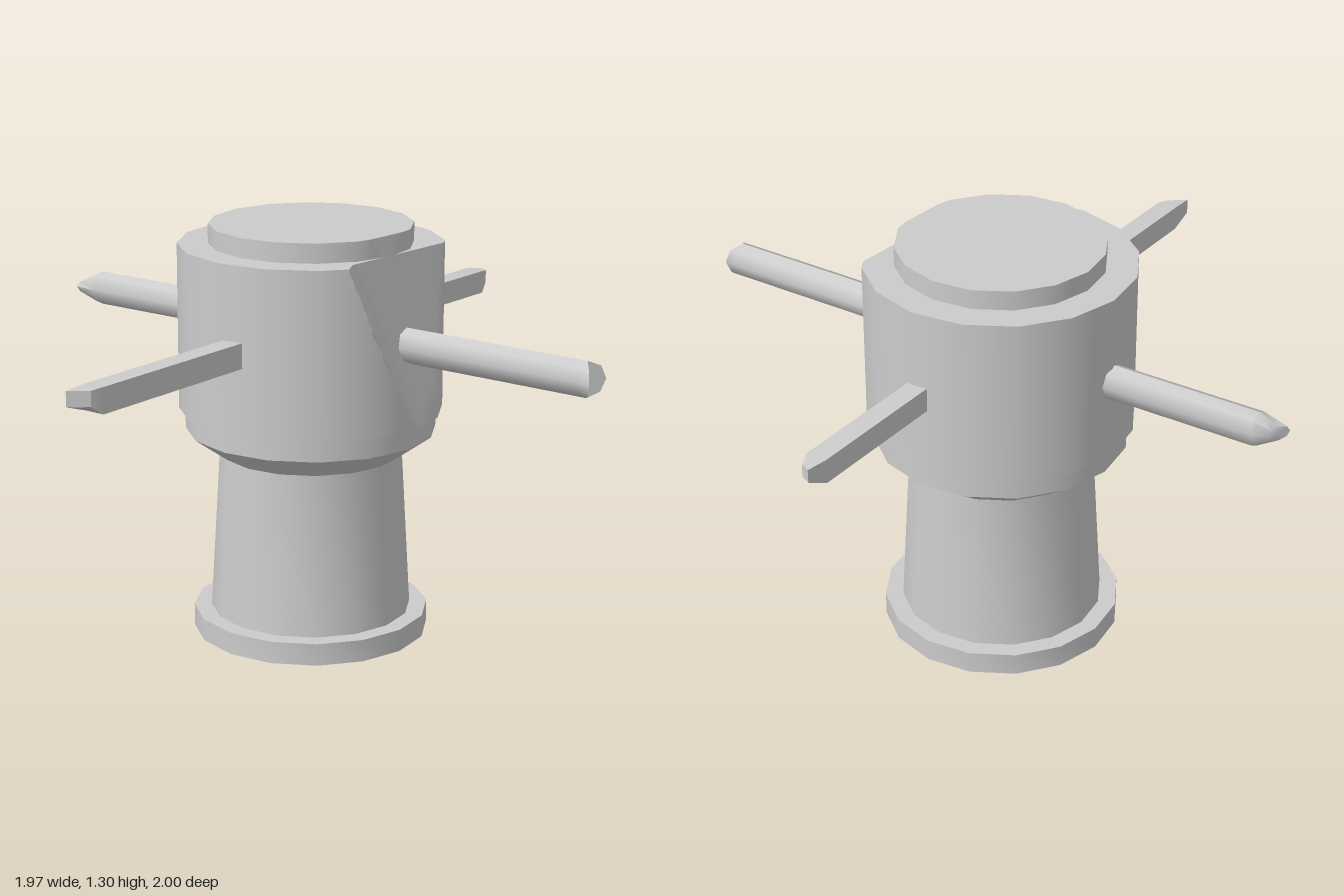
import * as THREE from 'three';
import { toCreasedNormals } from 'three/addons/utils/BufferGeometryUtils.js';

const material = new THREE.MeshStandardMaterial({ color: 0xcccccc, side: THREE.DoubleSide });
const SIDES = 16;

function addMesh(parent, name, geometry, crease) {
  const mesh = new THREE.Mesh(toCreasedNormals(geometry, crease), material);
  mesh.name = name;
  parent.add(mesh);
  return mesh;
}

const points = list => list.map(([r, y]) => new THREE.Vector2(r, y));

// Deepest allowed x of the broken side of the head: a sloping face with a wall at its front edge
function chipLimit(y, z) {
  const down = 1.24 - y;
  return 0.31 + 0.16 * down + 0.6 * Math.max(0, z - (0.165 - 0.42 * down));
}

// Sixteen-sided head with collar and raised cap, chipped on its left side
function headGeometry() {
  const profile = [[0.285, 0.58], [0.39, 0.655], [0.39, 0.675], [0.39, 0.7], [0.39, 0.72]];
  const rows = 26;
  for (let i = 0; i <= rows; i++) profile.push([0.41, 0.72 + 0.52 * i / rows]);
  profile.push([0.315, 1.24], [0.315, 1.27], [0.315, 1.3], [0, 1.3]);

  const geometry = new THREE.LatheGeometry(points(profile), SIDES * 12);
  const pos = geometry.attributes.position;
  const step = 2 * Math.PI / SIDES;
  for (let i = 0; i < pos.count; i++) {
    // flatten the round lathe into a sixteen-sided one
    const angle = Math.atan2(pos.getX(i), pos.getZ(i)) + 2 * Math.PI;
    const k = Math.cos(step / 2) / Math.cos(angle % step - step / 2);
    const x = pos.getX(i) * k, y = pos.getY(i), z = pos.getZ(i) * k;
    pos.setXYZ(i, Math.min(x, chipLimit(y, z)), y, z);
  }

  // smooth shading around the uncut upright sides
  const creased = toCreasedNormals(geometry, 0.42);
  const p = creased.attributes.position, n = creased.attributes.normal;
  for (let i = 0; i < p.count; i += 3) {
    const corners = [i, i + 1, i + 2];
    const smooth = corners.every(j =>
      Math.abs(n.getY(j)) < 0.1 && p.getX(j) < chipLimit(p.getY(j), p.getZ(j)) - 1e-4);
    if (!smooth) continue;
    for (const j of corners) {
      const r = Math.hypot(p.getX(j), p.getZ(j));
      n.setXYZ(j, p.getX(j) / r, 0, p.getZ(j) / r);
    }
  }
  return creased;
}

// Rod between two points; shapeTip(u, v) gives the end's [u, v, setback], with u and v in -1..1
function addRod(parent, name, from, to, sides, width, height, tipLength, shapeTip) {
  const start = new THREE.Vector3(...from), end = new THREE.Vector3(...to);
  const length = start.distanceTo(end);
  const square = sides === 4;
  const radius = square ? Math.SQRT2 : 1;
  const geometry = new THREE.CylinderGeometry(radius, radius, 1, sides, 2, false, square ? Math.PI / 4 : 0);
  geometry.rotateX(Math.PI / 2);
  const pos = geometry.attributes.position;
  for (let i = 0; i < pos.count; i++) {
    let u = pos.getX(i), v = pos.getY(i), z = 0;
    const along = pos.getZ(i);
    if (along > 0.4) {
      let setback;
      [u, v, setback] = shapeTip(u, v);
      z = length - setback;
    } else if (along > -0.4) {
      z = length - tipLength;
    }
    pos.setXYZ(i, u * width / 2, v * height / 2, z);
  }
  const rod = addMesh(parent, name, geometry, square ? 0.4 : 0.85);
  rod.position.copy(start);
  rod.lookAt(end);
}

export function createModel() {
  const model = new THREE.Group();
  model.name = 'spokedPost';

  const body = new THREE.Group();
  body.name = 'body';
  body.position.set(-0.03, 0, -0.075);
  model.add(body);

  const head = new THREE.Mesh(headGeometry(), material);
  head.name = 'head';
  body.add(head);

  // Tapered hollow shaft standing on a wider foot ring
  const shaft = points([
    [0, 0.56], [0.27, 0.56], [0.305, 0.07], [0.335, 0.06], [0.345, 0],
    [0.37, 0], [0.37, 0.07], [0.315, 0.07], [0.285, 0.58]
  ]);
  addMesh(body, 'shaftAndFoot', new THREE.LatheGeometry(shaft, SIDES), 0.5);

  // Four rods, each with its own broken end
  addRod(model, 'leftRod', [0.24, 0.965, -0.113], [0.98, 0.965, -0.165], 8, 0.095, 0.11, 0.04,
    (u, v) => [u, v, 0.035 * (1 - Math.abs(u))]);
  addRod(model, 'rightRod', [-0.38, 0.967, -0.07], [-0.99, 0.967, -0.02], 8, 0.095, 0.11, 0.08,
    (u, v) => [u * 0.65 + 0.2, v * 0.42, 0.02 * (1 - u)]);
  addRod(model, 'frontRod', [0.015, 0.97, 0.28], [0.065, 0.967, 1], 4, 0.066, 0.078, 0.08,
    (u, v) => [u * 0.8 - 0.15, v < 0 ? v * 0.3 : v * 0.9, 0.022 * (1 + u)]);
  addRod(model, 'backRod', [-0.038, 0.965, -0.42], [-0.074, 0.965, -1], 4, 0.066, 0.074, 0.06,
    (u, v) => [u * 0.5, v < 0 ? v * 0.3 : v * 0.8, 0.008 * (1 - u)]);

  return model;
}
